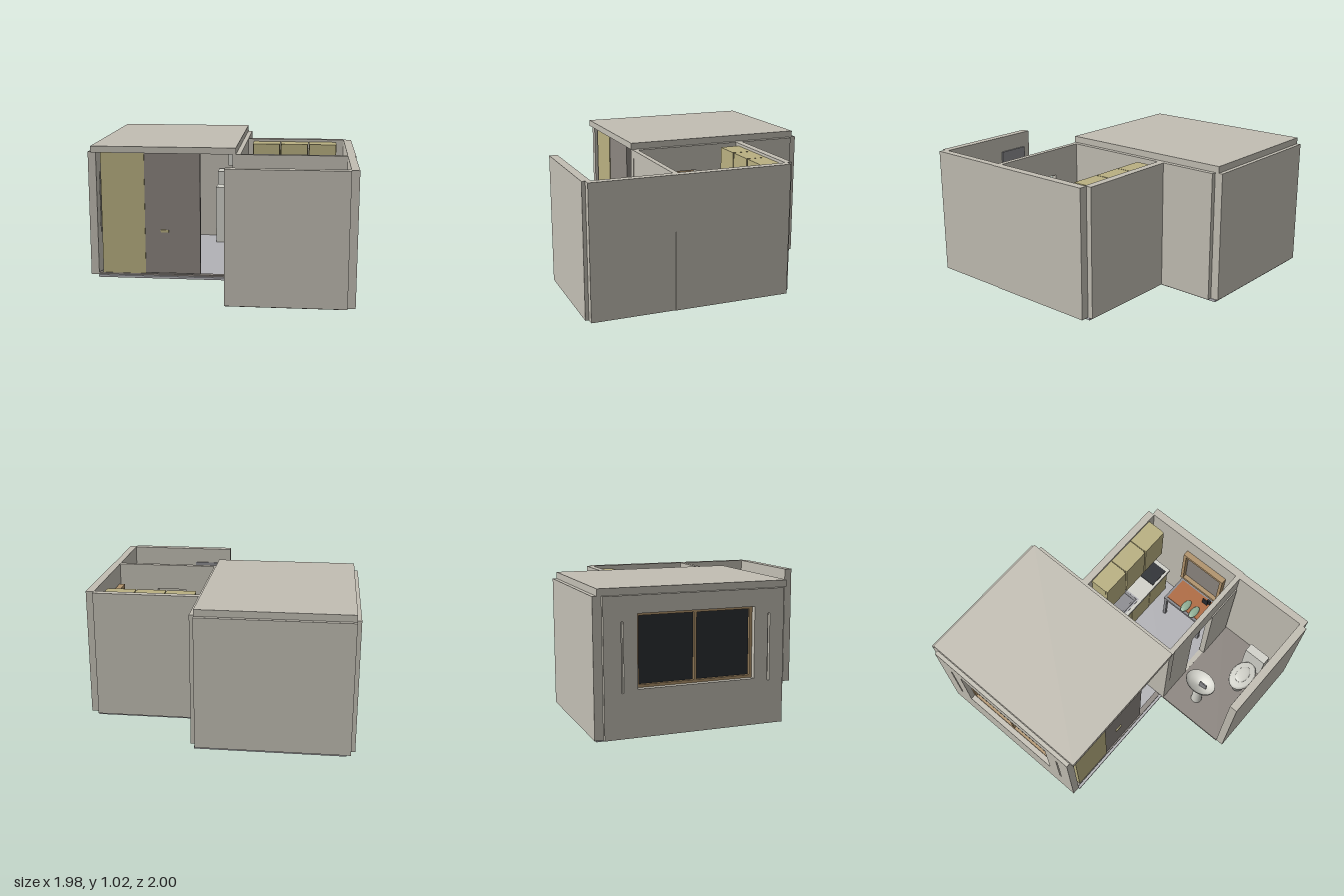
import * as THREE from 'three';

export function createModel() {
  const root = new THREE.Group();
  const mats = {};
  const mat = (color) => (mats[color] ??= new THREE.MeshStandardMaterial({ color }));
  const WALL = 0xc2beb3, WOOD = 0xb0936c, YELLOW = 0xb9b081, WHITE = 0xd2d2ca,
    STONE = 0x8b857f, FLOOR = 0xb2b2b6, DARK = 0x2a2d32, METAL = 0x8c8c90, ORANGE = 0xaf6a40, GREEN = 0x8fae94;

  const add = (name, geo, color, parent = root) => {
    const m = new THREE.Mesh(geo, mat(color));
    m.name = name;
    parent.add(m);
    return m;
  };
  // box from its limits
  const box = (name, x0, x1, y0, y1, z0, z1, color, parent) => {
    const m = add(name, new THREE.BoxGeometry(x1 - x0, y1 - y0, z1 - z0), color, parent);
    m.position.set((x0 + x1) / 2, (y0 + y1) / 2, (z0 + z1) / 2);
    return m;
  };
  // upright wall drawn as (u, y) with rectangular holes [u0, u1, y0, y1]
  const wallGeo = (u0, u1, y0, y1, depth, holes) => {
    const rect = (C, a, b, c, d) => {
      const p = new C();
      p.moveTo(a, c); p.lineTo(b, c); p.lineTo(b, d); p.lineTo(a, d); p.closePath();
      return p;
    };
    const s = rect(THREE.Shape, u0, u1, y0, y1);
    holes.forEach(([a, b, c, d]) => s.holes.push(rect(THREE.Path, a, b, c, d)));
    return new THREE.ExtrudeGeometry(s, { depth, bevelEnabled: false });
  };
  // wall running along z, thickness from x0 to x1
  const wallZ = (name, x0, x1, z0, z1, y0, y1, holes, color) => {
    const flipped = holes.map(([a, b, c, d]) => [-b, -a, c, d]);
    const m = add(name, wallGeo(-z1, -z0, y0, y1, x1 - x0, flipped), color);
    m.rotation.y = Math.PI / 2;
    m.position.x = x0;
    return m;
  };
  const wallX = (name, x0, x1, z0, z1, y0, y1, holes, color) => {
    const m = add(name, wallGeo(x0, x1, y0, y1, z1 - z0, holes), color);
    m.position.z = z0;
    return m;
  };
  const ellipsoid = (name, x, y, z, rx, ry, rz, color) => {
    const m = add(name, new THREE.SphereGeometry(1, 32, 20), color);
    m.scale.set(rx, ry, rz);
    m.position.set(x, y, z);
    return m;
  };
  const B = 0.022, T = 0.97;

  // floors
  box('mainFloor', -0.93, 0.125, 0.004, B, -0.98, 0.36, FLOOR);
  box('kitchenFloor', 0.125, 0.93, 0.004, B, -0.49, 0.36, FLOOR);
  box('bathroomFloor', 0.095, 0.93, 0, B, 0.36, 0.94, STONE);

  // main room shell
  wallZ('windowWall', -0.99, -0.93, -0.94, 0.35, B, T,
    [[-0.71, 0.13, 0.35, 0.85], [-0.82, -0.805, 0.33, 0.8], [0.23, 0.245, 0.33, 0.8]], WALL);
  box('mainBackWall', -0.96, 0.12, B, T, -1, -0.94, WALL);
  wallZ('dividingWall', 0.095, 0.155, -0.94, 0.38, B, T, [[-0.13, 0.07, 0.023, 0.78]], WALL);
  box('roof', -0.96, 0.12, T, 1.018, -0.97, 0.385, WALL);

  // kitchen and bathroom walls
  box('kitchenBackWall', 0.155, 0.93, B, T, -0.515, -0.46, WALL);
  box('kitchenSideWall', 0.93, 0.99, B, T, -0.475, 0.375, WALL);
  box('bathroomSideWall', 0.93, 0.985, B, T, 0.375, 0.975, WALL);
  box('bathroomFrontWall', 0.095, 0.93, B, T, 0.94, 1, WALL);
  wallX('partition', 0.155, 0.93, 0.34, 0.378, B, T, [[0.39, 0.62, 0.023, 0.77]], WALL);
  box('slidingDoor', 0.62, 0.92, B, 0.8, 0.378, 0.387, WALL);
  box('slidingDoorHandle', 0.385, 0.405, 0.36, 0.44, 0.325, 0.34, DARK);

  // wide window: frame, centre post and glass
  wallZ('windowFrame', -0.95, -0.9, -0.71, 0.13, 0.35, 0.85,
    [[-0.69, -0.3, 0.37, 0.83], [-0.28, 0.11, 0.37, 0.83]], WOOD);
  box('windowGlass', -0.93, -0.92, 0.36, 0.84, -0.7, 0.12, DARK);
  for (const z of [-0.8125, 0.2375]) box('wallSlotInfill', -0.965, -0.935, 0.33, 0.8, z - 0.0075, z + 0.0075, WALL);

  // door frame between the main room and kitchen
  wallZ('doorFrame', 0.072, 0.097, -0.155, 0.095, B, 0.78, [[-0.13, 0.07, 0.0225, 0.755]], WOOD);

  // front sliding panels
  box('yellowPanel', -0.9, -0.57, B, T, 0.3, 0.335, YELLOW);
  box('greyPanel', -0.575, -0.15, 0.04, T, 0.295, 0.33, STONE);
  box('panelTrack', -0.93, 0.09, B, 0.035, 0.3, 0.34, STONE);
  box('panelHandle', -0.45, -0.39, 0.36, 0.38, 0.33, 0.34, YELLOW);
  box('valance', -0.93, 0.072, 0.93, 0.965, -0.94, -0.9, WOOD);

  // main room appliances
  box('fridge', -0.14, 0.05, B, 0.51, -0.92, -0.7, WHITE);
  box('microwave', -0.13, 0.04, 0.525, 0.64, -0.91, -0.74, WHITE);
  box('airConditioner', 0.01, 0.094, 0.78, 0.89, -0.6, -0.25, WHITE);

  // upper cupboards and counter units
  for (let i = 0; i < 3; i++) {
    const x = 0.2 + i * 0.225;
    box('upperCupboard', x, x + 0.22, 0.6, 0.95, -0.46, -0.325, YELLOW);
    box('upperCupboardDoor', x + 0.004, x + 0.216, 0.605, 0.95, -0.325, -0.31, YELLOW);
    box('lowerCupboard', x, x + 0.22, B, 0.37, -0.46, -0.24, YELLOW);
  }
  box('counterTop', 0.19, 0.88, 0.37, 0.395, -0.46, -0.22, WHITE);
  box('sinkRim', 0.27, 0.51, 0.395, 0.399, -0.42, -0.245, FLOOR);
  const rim = add('sinkEdge', new THREE.TorusGeometry(0.1, 0.012, 8, 4), METAL);
  rim.geometry.rotateZ(Math.PI / 4).rotateX(Math.PI / 2).scale(1.35, 1, 0.95);
  rim.position.set(0.39, 0.4, -0.335);
  box('sinkBowl', 0.3, 0.48, 0.396, 0.401, -0.4, -0.27, METAL);
  const tap = new THREE.CatmullRomCurve3([[0, 0, 0], [0, 0.08, 0], [0, 0.1, 0.03], [0, 0.08, 0.06]]
    .map((p) => new THREE.Vector3(...p)));
  add('kitchenTap', new THREE.TubeGeometry(tap, 12, 0.006, 8), METAL).position.set(0.39, 0.395, -0.43);
  box('cooktop', 0.68, 0.845, 0.395, 0.402, -0.41, -0.24, DARK);

  // wire dish rack
  const rack = new THREE.Group();
  rack.name = 'dishRack';
  root.add(rack);
  for (let i = 0; i < 5; i++) box('rackWire', 0.156, 0.195, 0.42, 0.425, -0.455 + i * 0.032, -0.45 + i * 0.032, DARK, rack);
  for (let i = 0; i < 3; i++) box('rackRail', 0.157 + i * 0.017, 0.161 + i * 0.017, 0.42, 0.425, -0.46, -0.32, DARK, rack);

  // kitchen side window
  wallZ('kitchenWindowFrame', 0.88, 0.925, -0.11, 0.27, 0.42, 0.82, [[-0.085, 0.245, 0.445, 0.795]], WOOD);
  box('kitchenWindowPane', 0.915, 0.931, 0.43, 0.81, -0.1, 0.26, STONE);

  // table with inset top, legs, plates and bottles
  box('tableFrame', 0.68, 0.915, 0.31, 0.335, -0.115, 0.27, METAL);
  box('tableTop', 0.7, 0.9, 0.335, 0.342, -0.095, 0.25, ORANGE);
  for (const x of [0.695, 0.9]) for (const z of [-0.1, 0.255])
    box('tableLeg', x - 0.012, x + 0.012, B, 0.31, z - 0.012, z + 0.012, METAL);
  for (const z of [0.075, 0.16]) ellipsoid('plate', 0.732, 0.352, z, 0.06, 0.012, 0.031, GREEN);
  box('bottle', 0.848, 0.858, 0.342, 0.41, 0.15, 0.2, DARK);
  box('bottle', 0.866, 0.88, 0.342, 0.4, 0.185, 0.215, DARK);

  // washbasin
  const basin = add('washbasin', new THREE.LatheGeometry(
    [[0, 0], [0.35, 0.02], [0.75, 0.06], [1, 0.12], [0.97, 0.13], [0.7, 0.08], [0, 0.05]]
      .map(([r, y]) => new THREE.Vector2(r, y)), 40), WHITE);
  basin.scale.set(0.092, 1, 0.128);
  basin.position.set(0.272, 0.3, 0.59);
  const stand = add('basinStand', new THREE.CylinderGeometry(0.035, 0.045, 0.29, 24), WHITE);
  stand.position.set(0.272, 0.167, 0.59);
  box('basinTap', 0.267, 0.277, 0.35, 0.44, 0.585, 0.65, METAL);

  // toilet
  const bowl = add('toiletBowl', new THREE.LatheGeometry(
    [[0, 0], [0.55, 0], [0.5, 0.08], [0.8, 0.16], [1, 0.2], [1, 0.22], [0.9, 0.235], [0, 0.24]]
      .map(([r, y]) => new THREE.Vector2(r, y)), 40), WHITE);
  bowl.scale.set(0.13, 1, 0.095);
  bowl.position.set(0.597, B, 0.785);
  ellipsoid('toiletLid', 0.597, 0.262, 0.785, 0.075, 0.012, 0.05, WHITE);
  box('toiletTank', 0.72, 0.79, 0.15, 0.42, 0.695, 0.875, WHITE);
  box('toiletBack', 0.66, 0.75, B, 0.2, 0.74, 0.83, WHITE);

  // bathroom mirror
  box('bathroomMirror', 0.155, 0.395, 0.5, 0.85, 0.928, 0.94, METAL);

  return root;
}
